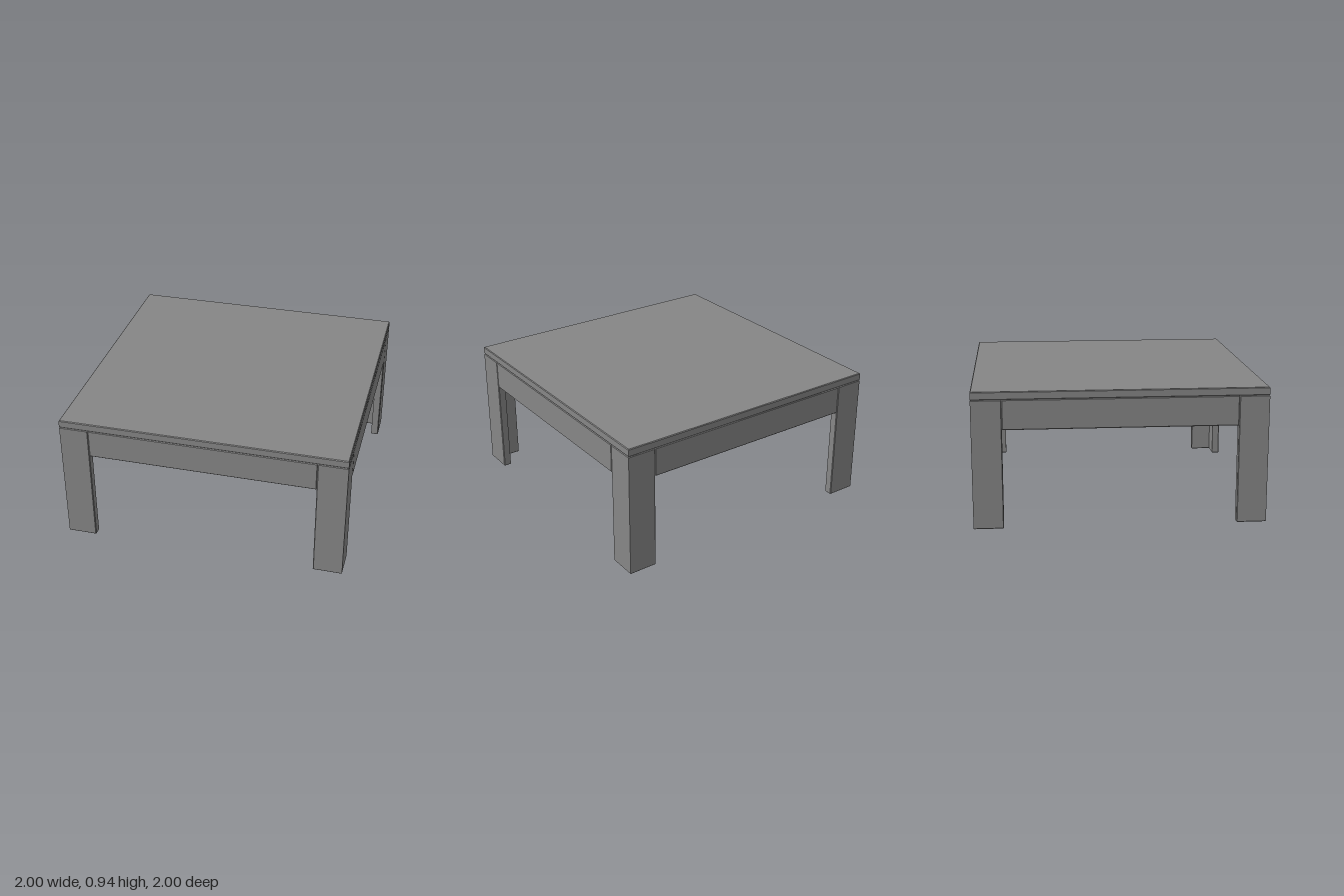
import * as THREE from 'three';

const BOARD = 0.055;   // thickness of every board
const BEVEL = 0.005;   // small chamfer on the edges
const UNDERSIDE = 0.89;
const JOINT = 0.795;   // where legs and aprons meet
const APRON = 0.205;   // apron height

// Extrude an outline upward to the given height, chamfered within its outline
function board(points, height) {
  const shape = new THREE.Shape(points.map(([x, y]) => new THREE.Vector2(x, y)));
  const geometry = new THREE.ExtrudeGeometry(shape, {
    depth: height - 2 * BEVEL,
    bevelThickness: BEVEL,
    bevelSize: BEVEL,
    bevelOffset: -BEVEL,
    bevelSegments: 1,
  });
  geometry.translate(0, 0, BEVEL);
  geometry.rotateX(-Math.PI / 2);
  return geometry;
}

export function createModel() {
  const table = new THREE.Group();
  table.name = 'table';
  const material = new THREE.MeshStandardMaterial({ color: 0x868686, flatShading: true });

  function add(name, geometry, y, turn = 0) {
    const mesh = new THREE.Mesh(geometry, material);
    mesh.name = name;
    mesh.position.y = y;
    mesh.rotation.y = turn;
    table.add(mesh);
  }

  // Square top
  add('tableTop', board([[-1, -1], [1, -1], [1, 1], [-1, 1]], BOARD), UNDERSIDE);

  // Angle-shaped leg, open inside, with chamfered edges beside the aprons
  const face = 1 - BOARD, cut = 1 - BEVEL;
  const leg = board([
    [JOINT, face], [face, face], [face, JOINT],
    [cut, JOINT], [1, JOINT + BEVEL], [1, 1], [JOINT + BEVEL, 1], [JOINT, cut],
  ], UNDERSIDE);

  // Apron board between two legs, with a V-groove at each joint
  const apron = board([
    [JOINT, -face], [-JOINT, -face],
    [-JOINT, -cut], [-JOINT + BEVEL, -1], [JOINT - BEVEL, -1], [JOINT, -cut],
  ], APRON);

  // Four corners and four sides
  const corners = ['backLeft', 'backRight', 'frontRight', 'frontLeft'];
  const sides = ['front', 'left', 'back', 'right'];
  for (let i = 0; i < 4; i++) {
    const turn = i * Math.PI / 2;
    add(`${corners[i]}Leg`, leg, 0, turn);
    add(`${sides[i]}Apron`, apron, UNDERSIDE - APRON, turn);
  }

  return table;
}
